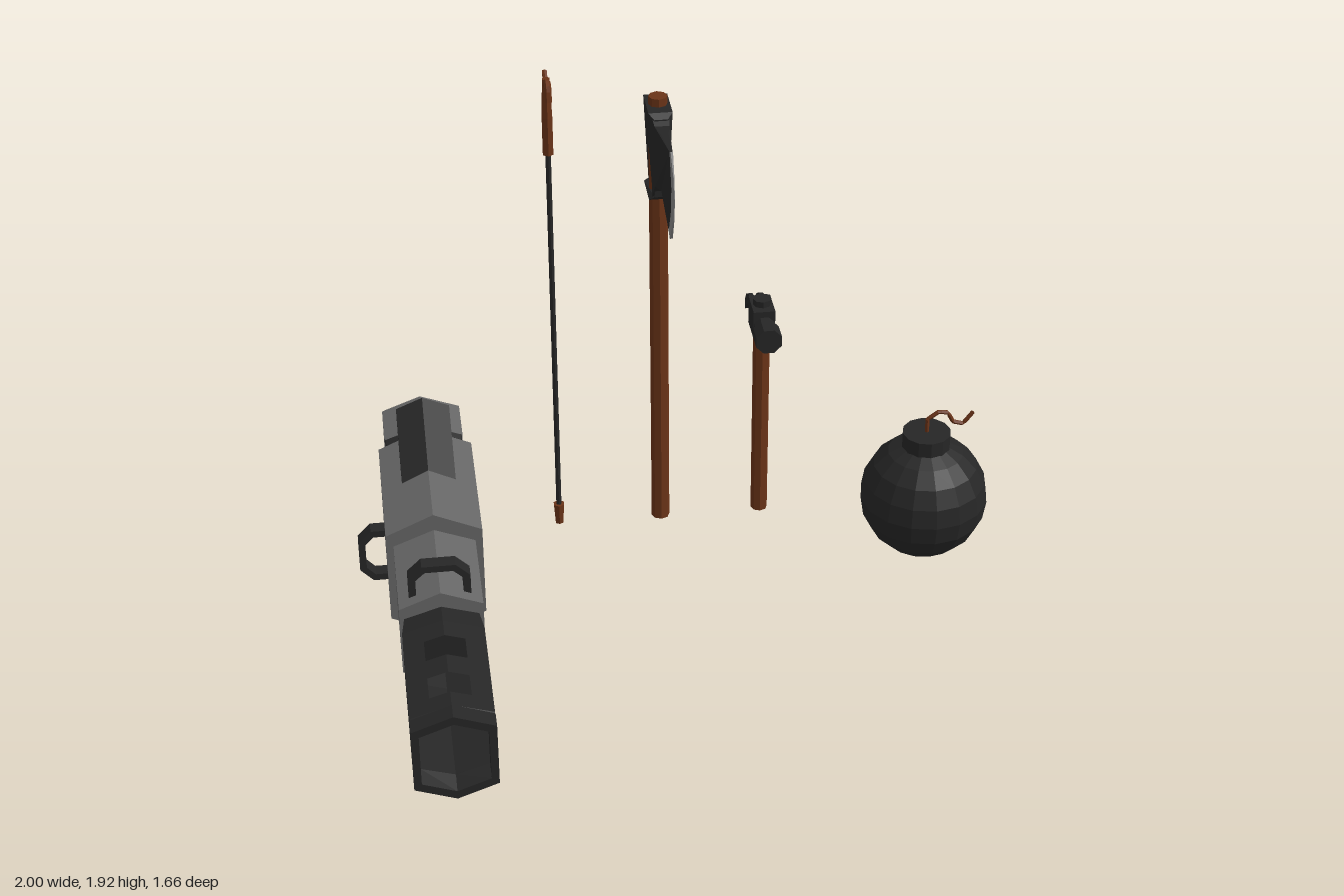
import * as THREE from 'three';

const paint = (color) => new THREE.MeshStandardMaterial({ color, flatShading: true, side: THREE.DoubleSide });
const V = (x, y, z) => new THREE.Vector3(x, y, z);

// Unit hexagon with tall sides, counter-clockwise
const HEX = [[1, -0.7], [1, 0.7], [0, 1], [-1, 0.7], [-1, -0.7], [0, -1]];

// Skin rings of a profile along falling z; sections are [z, halfWidth, halfHeight, yOffset]
function loft(profile, sections, skip = () => false) {
  const pos = [];
  const at = ([z, w, h, y = 0], i) => {
    const [px, py] = profile[i % profile.length];
    return [px * w, py * h + y, z];
  };
  for (let s = 0; s < sections.length - 1; s++) {
    const A = sections[s], B = sections[s + 1];
    for (let i = 0; i < profile.length; i++) {
      if (skip(i, (A[0] + B[0]) / 2)) continue;
      const a = at(A, i), b = at(B, i), c = at(B, i + 1), d = at(A, i + 1);
      pos.push(...a, ...b, ...c, ...a, ...c, ...d);
    }
  }
  const g = new THREE.BufferGeometry();
  g.setAttribute('position', new THREE.Float32BufferAttribute(pos, 3));
  g.computeVertexNormals();
  return g;
}

const shapeOf = (pts) => new THREE.Shape(pts.map(([a, b]) => new THREE.Vector2(a, b)));

// Plate drawn in (x, y), centred in z
function plateXY(pts, depth) {
  return new THREE.ExtrudeGeometry(shapeOf(pts), { depth, bevelEnabled: false }).translate(0, 0, -depth / 2);
}

// Plate drawn in (z, y) whose half thickness follows a rule of z
function plateZY(pts, half) {
  const g = new THREE.ExtrudeGeometry(shapeOf(pts), { depth: 2, bevelEnabled: false });
  g.translate(0, 0, -1).rotateY(-Math.PI / 2);
  const p = g.attributes.position;
  for (let i = 0; i < p.count; i++) p.setX(i, p.getX(i) * half(p.getZ(i)));
  g.computeVertexNormals();
  return g;
}

// Straight-segmented round path
function rope(points, r, steps, sides = 6) {
  const path = new THREE.CurvePath();
  for (let i = 0; i < points.length - 1; i++) path.add(new THREE.LineCurve3(points[i], points[i + 1]));
  return new THREE.TubeGeometry(path, steps, r, sides, false);
}

const rod = (r, y0, y1, sides, r2 = r) => new THREE.CylinderGeometry(r2, r, y1 - y0, sides).translate(0, (y0 + y1) / 2, 0);

export function createModel() {
  const root = new THREE.Group();
  const dark = paint(0x262626), grey = paint(0x666666), steel = paint(0x858585), wood = paint(0x6b3418);
  const group = (name, x, y, z) => {
    const g = new THREE.Group();
    g.name = name;
    g.position.set(x, y, z);
    root.add(g);
    return (part, geo, mat) => {
      const m = new THREE.Mesh(geo, mat);
      m.name = part;
      g.add(m);
      return m;
    };
  };

  // Launcher, centred on its bore
  const gun = group('launcher', -0.77, 0.375, 0);
  gun('muzzleRing', loft(HEX, [[0.775, 0.098, 0.105], [0.83, 0.098, 0.12], [0.83, 0.12, 0.147],
    [0.775, 0.12, 0.147], [0.775, 0.098, 0.105]]), dark);

  // Barrel with side and top windows
  const ring = [[1, -0.7], [1, -0.6], [1, 0.05], [1, 0.7], [0.5, 0.85], [0, 1], [-0.5, 0.85],
    [-1, 0.7], [-1, 0.05], [-1, -0.6], [-1, -0.7], [0, -1]];
  const inside = (z, spans) => spans.some(([a, b]) => z > a && z < b);
  const sideSpans = [[0.36, 0.44], [0.52, 0.6], [0.67, 0.75]], topSpans = [[0.43, 0.52], [0.6, 0.69]];
  const isWindow = (i, z) => ([0, 2, 7, 9].includes(i) && inside(z, sideSpans))
    || ([4, 5].includes(i) && inside(z, topSpans));
  const cuts = [0.775, 0.75, 0.69, 0.67, 0.6, 0.52, 0.44, 0.43, 0.36, 0.28];
  gun('barrel', loft(ring, cuts.map((z) => {
    const k = z > 0.76 || z < 0.3 ? 0.92 : 1;
    return [z, 0.12 * k, 0.126 * k];
  }), isWindow), dark);

  gun('boreEnd', loft(HEX, [[0.282, 0, 0], [0.282, 0.11, 0.115]]), dark);
  gun('collar', loft(HEX, [[0.28, 0, 0], [0.28, 0.124, 0.165], [-0.04, 0.124, 0.165]]), grey);
  gun('body', loft(HEX, [[-0.04, 0, 0], [-0.04, 0.146, 0.22], [-0.515, 0.146, 0.22], [-0.515, 0, 0]]), grey);
  gun('neck', loft(HEX, [[-0.515, 0.143, 0.212], [-0.535, 0.122, 0.152], [-0.615, 0.12, 0.148],
    [-0.635, 0.123, 0.155]]), dark);
  gun('rearCap', loft(HEX, [[-0.625, 0.105, 0.13], [-0.64, 0.125, 0.16], [-0.8, 0.125, 0.16],
    [-0.832, 0.113, 0.138], [-0.832, 0.09, 0.108]]), grey);
  gun('rearRecess', loft(HEX, [[-0.832, 0.09, 0.108], [-0.74, 0.04, 0.05], [-0.74, 0, 0]]), dark);

  // Raised flap with a ridged top
  const roof = [[1, -2], [1, -1], [0, 0], [-1, -1], [-1, -2]];
  gun('flap', loft(roof, [[-0.25, 0, 0, 0.2], [-0.25, 0.083, 0.035, 0.205], [-0.515, 0.083, 0.035, 0.336],
    [-0.515, 0, 0, 0.3]]), dark);

  // Pointed grip below
  gun('grip', plateXY([[-0.087, -0.1], [-0.087, -0.33], [0, -0.375], [0.087, -0.33], [0.087, -0.1]], 0.046), dark)
    .position.z = -0.037;

  // Open carry loops on top and on the right
  const loop = [[-0.092, 0], [-0.092, 0.075], [-0.05, 0.115], [0.05, 0.115], [0.092, 0.075], [0.092, 0],
    [0.07, 0], [0.07, 0.068], [0.042, 0.094], [-0.042, 0.094], [-0.07, 0.068], [-0.07, 0]];
  gun('topLoop', plateXY(loop, 0.045), dark).position.set(0, 0.12, 0.22);
  const sideLoop = gun('sideLoop', plateXY(loop, 0.045), dark);
  sideLoop.position.set(-0.115, -0.015, -0.203);
  sideLoop.rotation.z = Math.PI / 2;

  // Crowbar-like cane with a hooked handle
  const cane = group('cane', -0.37, 0, -0.285);
  cane('caneShaft', rod(0.008, 0.4, 1.68, 8), dark);
  cane('caneTip', rod(0.013, 0.36, 0.43, 6, 0.018), wood);
  cane('caneHandle', rod(0.017, 1.66, 1.78, 6, 0.017), wood);
  cane('caneNeck', rod(0.017, 1.78, 1.9, 6, 0.012), wood);
  cane('caneHook', rope([V(0, 1.87, 0), V(0, 1.895, 0.015), V(0, 1.91, 0.04), V(0, 1.9, 0.063),
    V(0, 1.86, 0.07)], 0.01, 12), wood);
  cane('caneSpur', rope([V(0, 1.885, 0), V(0, 1.885, -0.02), V(0, 1.902, -0.046)], 0.008, 6), wood);

  // Axe
  const axe = group('axe', -0.05, 0, -0.285);
  axe('axeHandle', rod(0.028, 0.36, 1.825, 8), wood);
  const headHalf = (z) => (Math.abs(z) > 0.062 ? 0.02 : 0.035);
  axe('axeHead', plateZY([[-0.075, 1.52], [-0.06, 1.52], [0.06, 1.52], [0.075, 1.535], [0.075, 1.785],
    [0.06, 1.8], [-0.06, 1.8], [-0.075, 1.785]], headHalf), dark);
  const bladeHalf = (z) => (z < 0.16 ? 0.026 - (z - 0.06) * 0.16 : Math.max(0.001, 0.01 - (z - 0.16) * 0.045));
  axe('axeBlade', plateZY([[0.06, 1.53], [0.09, 1.58], [0.155, 1.598], [0.27, 1.53], [0.305, 1.61],
    [0.315, 1.69], [0.288, 1.793], [0.155, 1.78], [0.09, 1.772], [0.06, 1.79]], bladeHalf), dark);
  axe('axeEdge', plateZY([[0.27, 1.53], [0.287, 1.515], [0.34, 1.6], [0.362, 1.68], [0.345, 1.745],
    [0.305, 1.802], [0.288, 1.793], [0.315, 1.69], [0.305, 1.61]], bladeHalf), steel);

  // Claw hammer
  const hammer = group('hammer', 0.263, 0, -0.285);
  hammer('hammerHandle', rod(0.026, 0.36, 1.03, 8), wood);
  hammer('hammerCap', rod(0.028, 1.07, 1.125, 8), dark);
  hammer('hammerBlock', new THREE.BoxGeometry(0.066, 0.09, 0.1).translate(0, 1.06, 0), dark);
  const face = (r, z0, z1) => new THREE.CylinderGeometry(r, r, z1 - z0, 8, 1).rotateY(Math.PI / 8)
    .rotateX(Math.PI / 2).translate(0, 1.054, (z0 + z1) / 2);
  hammer('hammerNeck', face(0.034, 0.04, 0.09), dark);
  hammer('hammerFace', face(0.042, 0.08, 0.14), dark);
  for (const side of [1, -1]) {
    const claw = plateZY([[-0.04, 1.03], [-0.04, 1.09], [-0.12, 1.073], [-0.165, 1.045], [-0.182, 1.02],
      [-0.178, 0.985], [-0.155, 1.015], [-0.12, 1.032]], (z) => (z < -0.1 ? 0.006 : 0.011));
    hammer(side > 0 ? 'leftClaw' : 'rightClaw', claw, dark).position.x = side * 0.016;
  }

  // Round bomb with a crooked fuse
  const bomb = group('bomb', 0.795, 0.358, -0.285);
  bomb('bombShell', new THREE.SphereGeometry(0.203, 16, 10), dark);
  bomb('bombNeck', rod(0.077, 0.165, 0.237, 12), dark);
  bomb('fuse', rope([V(0, 0.23, 0), V(0, 0.282, 0), V(0.035, 0.307, 0), V(0.065, 0.302, 0),
    V(0.082, 0.267, 0), V(0.115, 0.257, 0), V(0.145, 0.297, 0)], 0.007, 24, 5), wood);

  return root;
}
